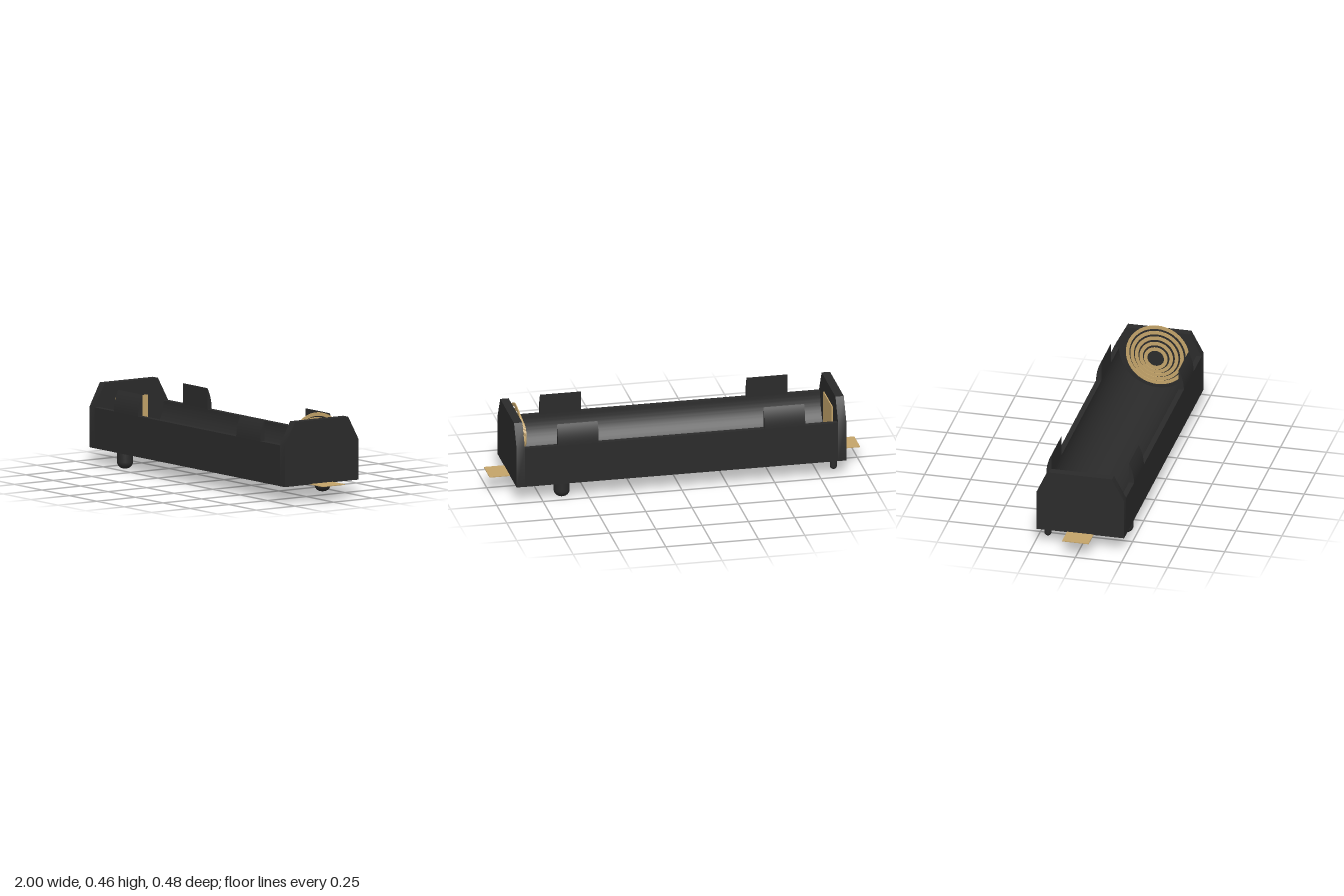
import * as THREE from 'three';
import { toCreasedNormals } from 'three/addons/utils/BufferGeometryUtils.js';

const plastic = new THREE.MeshStandardMaterial({ color: 0x2b2b2b });
const brass = new THREE.MeshStandardMaterial({ color: 0xc4a46a });

const BOTTOM = 0.087, RIM = 0.305, TOP = 0.428;
const HALF_W = 0.238, BORE = 0.21, END = 0.89, INNER = 0.845;

export function createModel() {
  const model = new THREE.Group();

  const add = (name, geometry, material, x = 0, y = 0, z = 0) => {
    const mesh = new THREE.Mesh(geometry, material);
    mesh.name = name;
    mesh.position.set(x, y, z);
    model.add(mesh);
    return mesh;
  };

  // Extrudes a (z, y) cross-section along x between x0 and x1
  const extrudeX = (shape, x0, x1) => {
    const g = new THREE.ExtrudeGeometry(shape, { depth: x1 - x0, bevelEnabled: false, curveSegments: 48 });
    g.rotateY(Math.PI / 2);
    g.translate(x0, 0, 0);
    return toCreasedNormals(g, 0.5);
  };
  const polygon = (pts) => new THREE.Shape(pts.map(([x, y]) => new THREE.Vector2(x, y)));

  // Tray with a half-round trough
  const tray = new THREE.Shape();
  tray.moveTo(-HALF_W, BOTTOM);
  tray.lineTo(HALF_W, BOTTOM);
  tray.lineTo(HALF_W, RIM);
  tray.lineTo(BORE, RIM);
  tray.absarc(0, RIM, BORE, 0, -Math.PI, true);
  tray.lineTo(-HALF_W, RIM);
  tray.closePath();
  add('tray', extrudeX(tray, -INNER, INNER), plastic);

  // Chamfered end walls
  const wall = polygon([
    [-HALF_W, BOTTOM], [HALF_W, BOTTOM], [HALF_W, RIM],
    [0.172, TOP], [-0.172, TOP], [-HALF_W, RIM],
  ]);
  add('leftEndWall', extrudeX(wall, INNER, END), plastic);
  add('rightEndWall', extrudeX(wall, -END, -INNER), plastic);

  // Retaining clips: flat inside, curved outside
  const tip = Math.acos(BORE / HALF_W);
  for (const side of [1, -1]) {
    const pts = [[side * BORE, RIM]];
    for (let i = 0; i <= 10; i++) {
      const a = (tip * i) / 10;
      pts.push([side * HALF_W * Math.cos(a), RIM + HALF_W * Math.sin(a)]);
    }
    for (const x of [-0.668, 0.447]) add('retainingClip', extrudeX(polygon(pts), x, x + 0.22), plastic);
  }

  // Locating pegs with rounded tips
  const peg = (name, r, y0, x, z) => {
    const round = r * 0.85;
    const pts = [new THREE.Vector2(0, y0)];
    for (let i = 0; i <= 8; i++) {
      const a = (Math.PI / 2) * (i / 8);
      pts.push(new THREE.Vector2(r - round + round * Math.sin(a), y0 + round * (1 - Math.cos(a))));
    }
    pts.push(new THREE.Vector2(r, BOTTOM));
    add(name, new THREE.LatheGeometry(pts, 32), plastic, x, 0, z);
  };
  peg('locatingPeg', 0.0425, 0, -0.64, 0.186);
  peg('locatingPeg', 0.0425, 0, 0.636, -0.186);
  peg('polarityPeg', 0.018, 0.027, -0.83, -0.19);

  // Solder tabs at both ends
  for (const side of [1, -1]) {
    add('solderTab', new THREE.BoxGeometry(0.11, 0.004, 0.144), brass, side * 0.945, 0.088, 0);
  }

  // Flat contact plate
  add('contactPlate', new THREE.BoxGeometry(0.006, 0.21, 0.21), brass, -INNER + 0.003, 0.24, 0);

  // Stepped conical spring made of flat rings
  for (let i = 0; i < 5; i++) {
    const r = 0.172 - i * 0.027;
    const ring = new THREE.Shape().absarc(0, 0, r, 0, Math.PI * 2, false);
    ring.holes.push(new THREE.Path().absarc(0, 0, r - 0.019, 0, Math.PI * 2, true));
    const x = INNER - 0.005 - i * 0.0105;
    add('springRing', extrudeX(ring, x, x + 0.004), brass, 0, 0.288, 0);
  }

  return model;
}
